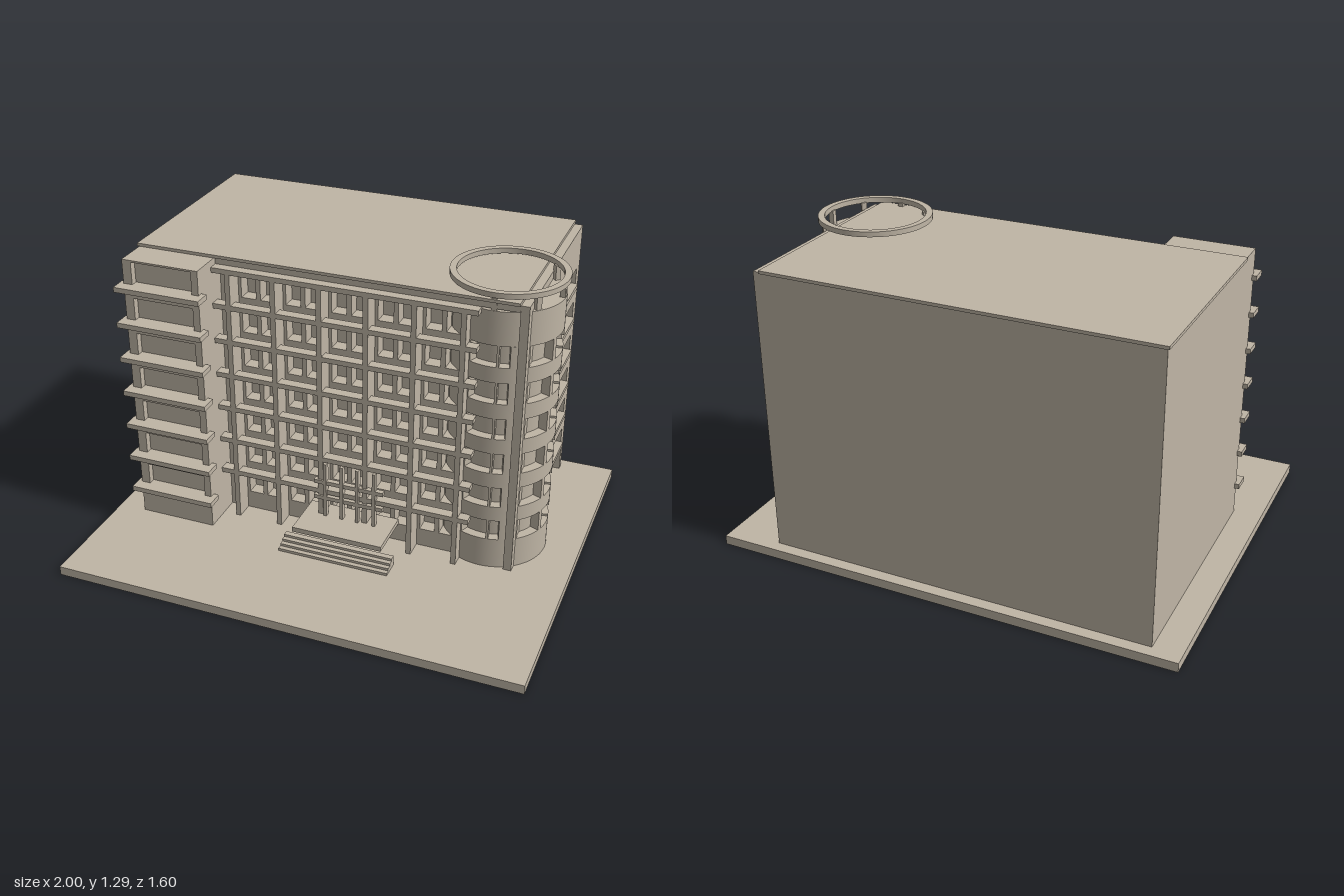
import * as THREE from 'three';
import { toCreasedNormals } from 'three/addons/utils/BufferGeometryUtils.js';

const FLOOR = 0.159;

export function createModel() {
  const model = new THREE.Group();
  const stone = new THREE.MeshStandardMaterial({ color: 0xbfb5a5 });
  stone.name = 'warm stone';

  const add = (name, geo, parent = model) => {
    const mesh = new THREE.Mesh(geo, stone);
    mesh.name = name;
    parent.add(mesh);
    return mesh;
  };
  const group = (name) => {
    const g = new THREE.Group();
    g.name = name;
    model.add(g);
    return g;
  };
  // Box given by its extents
  const box = (name, x0, x1, y0, y1, z0, z1, parent) => {
    const geo = new THREE.BoxGeometry(x1 - x0, y1 - y0, z1 - z0);
    geo.translate((x0 + x1) / 2, (y0 + y1) / 2, (z0 + z1) / 2);
    return add(name, geo, parent);
  };
  // Wall plate in the xy plane with rectangular holes [x0, x1, y0, y1]
  const rect = (T, x0, x1, y0, y1) => new T([
    new THREE.Vector2(x0, y0), new THREE.Vector2(x1, y0),
    new THREE.Vector2(x1, y1), new THREE.Vector2(x0, y1)]);
  const plate = (x0, x1, y0, y1, holes, depth) => {
    const shape = rect(THREE.Shape, x0, x1, y0, y1);
    holes.forEach((h) => shape.holes.push(rect(THREE.Path, ...h)));
    return new THREE.ExtrudeGeometry(shape, { depth, bevelEnabled: false });
  };

  // Ground slab, building cores and roof
  box('groundSlab', -1, 1, 0, 0.04, -0.8, 0.8);
  box('rearCore', -0.88, 0.72, 0.03, 1.25, -0.75, -0.27);
  box('frontCore', -0.88, 0.49, 0.03, 1.25, -0.27, 0.04);
  box('towerBackCore', 0.49, 0.73, 1.2, 1.25, -0.27, 0.1);
  box('roofSlab', -0.89, 0.73, 1.25, 1.263, -0.765, 0.15);
  box('frontParapet', -0.54, 0.73, 1.222, 1.25, 0.04, 0.14);

  // Recessed front wall with paired windows
  const facadeHoles = [];
  for (let r = 0; r < 7; r++) {
    for (let c = 0; c < 5; c++) {
      const x = -0.372 + 0.199 * c;
      const y = 0.123 + 0.158 * r;
      facadeHoles.push([x - 0.075, x - 0.01, y, y + 0.097], [x + 0.01, x + 0.075, y, y + 0.097]);
    }
  }
  const facade = plate(-0.56, 0.53, 0.03, 1.25, facadeHoles, 0.06);
  facade.translate(0, 0, 0.04);
  add('frontWall', facade);

  // Sun screen grid in front of the wall
  const screen = group('sunScreen');
  for (let i = 0; i < 6; i++) {
    const x = -0.471 + 0.199 * i;
    box('screenFin', x - 0.011, x + 0.011, 0.04, 1.215, 0.1, 0.18, screen);
  }
  for (let i = 0; i < 7; i++) {
    const y = 0.262 + 0.158 * i;
    box('screenLedge', -0.54, 0.58, y - 0.011, y + 0.011, 0.135, 0.18, screen);
  }

  // Projecting left bay with windows and sills
  const bay = group('leftBay');
  box('bayCore', -0.88, -0.54, 0.03, 1.25, 0.04, 0.265, bay);
  const bayHoles = [];
  for (let i = 0; i < 7; i++) {
    const y = 0.19 + FLOOR * i;
    bayHoles.push([-0.84, -0.57, y, y + 0.098]);
    box('baySill', -0.9, -0.517, y - 0.022, y, 0.27, 0.345, bay);
  }
  const bayFront = plate(-0.88, -0.54, 0.03, 1.25, bayHoles, 0.03);
  bayFront.translate(0, 0, 0.265);
  add('bayFront', bayFront, bay);

  // Right wall with wide and small windows, and a ground-level opening
  const right = group('rightWall');
  const rightHoles = [[0.42, 0.72, 0.035, 0.15]];
  for (let i = 0; i < 6; i++) {
    const y = 0.178 + 0.16 * i;
    rightHoles.push([0.47, 0.7, y, y + 0.092], [0.33, 0.44, y + 0.009, y + 0.058]);
    box('rightSill', 0.72, 0.775, y, y + 0.02, -0.7, -0.472, right);
  }
  const rightWall = plate(0.22, 0.75, 0.03, 1.25, rightHoles, 0.045);
  rightWall.rotateY(Math.PI / 2);
  rightWall.translate(0.72, 0, 0);
  add('rightWallPlate', rightWall, right);
  box('wallOverTower', 0.73, 0.765, 1.2, 1.25, -0.25, 0.135, right);
  box('cornerPier', 0.73, 0.765, 0.03, 1.25, 0, 0.138, right);

  // Round corner tower
  const tower = group('cornerTower');
  tower.position.set(0.628, 0, -0.08);
  const R = 0.225, CORE = 0.185;
  const drum = (name, r, y0, y1) => {
    const geo = new THREE.CylinderGeometry(r, r, y1 - y0, 72);
    geo.translate(0, (y0 + y1) / 2, 0);
    add(name, geo, tower);
  };
  // Curved wall piece; angles in degrees from +x towards +z
  const sector = (name, a0, a1, y0, y1, rIn = CORE - 0.01, rOut = R) => {
    const a = -THREE.MathUtils.degToRad(a0), b = -THREE.MathUtils.degToRad(a1);
    const s = new THREE.Shape();
    s.absarc(0, 0, rOut, a, b, true);
    s.absarc(0, 0, rIn, b, a, false);
    const geo = new THREE.ExtrudeGeometry(s, {
      depth: y1 - y0, bevelEnabled: false, curveSegments: Math.max(2, Math.ceil((a1 - a0) / 5)),
    });
    geo.rotateX(-Math.PI / 2);
    geo.translate(0, y0, 0);
    add(name, toCreasedNormals(geo, 0.5), tower);
  };
  drum('towerCore', CORE, 0.03, 1.21);
  let below = 0.03;
  for (let i = 0; i < 6; i++) {
    const y = 0.178 + 0.16 * i, top = y + 0.092;
    drum('towerBand', R, below, y);
    [[113, 200], [82, 84.5], [51, 71], [17, 22], [-100, -26]].forEach(([a, b]) =>
      sector('towerPier', a, b, y, top));
    sector('lowWindowSill', -26, -8, y, y + 0.009);
    sector('lowWindowHead', -26, -8, y + 0.058, top);
    below = top;
  }
  drum('towerBand', R, below, 1.215);

  // Crown ring on short posts
  [-45, 0, 45, 90, 135].forEach((d) => {
    const geo = new THREE.BoxGeometry(0.022, 0.07, 0.022);
    geo.translate(0.212, 1.242, 0);
    geo.rotateY(-THREE.MathUtils.degToRad(d));
    add('crownPost', geo, tower);
  });
  const ring = new THREE.LatheGeometry([
    [0.209, 1.273], [0.236, 1.273], [0.236, 1.295], [0.209, 1.295], [0.209, 1.273],
  ].map(([x, y]) => new THREE.Vector2(x, y)), 72);
  add('crownRing', toCreasedNormals(ring, 0.5), tower);

  // Entrance: canopy, lattice and steps
  const entrance = group('entrance');
  box('canopy', -0.147, 0.253, 0.125, 0.147, 0.1, 0.32, entrance);
  [-0.05, 0.025, 0.095, 0.17].forEach((x) =>
    box('latticeBar', x - 0.007, x + 0.007, 0.147, 0.405, 0.165, 0.19, entrance));
  [0.235, 0.312].forEach((y) =>
    box('latticeRail', -0.1, 0.21, y - 0.009, y + 0.009, 0.165, 0.188, entrance));
  for (let i = 0; i < 4; i++) {
    box('step', -0.195, 0.295, 0.03, 0.052 + 0.011 * i, 0.275, 0.36 - 0.02 * i, entrance);
  }
  return model;
}
